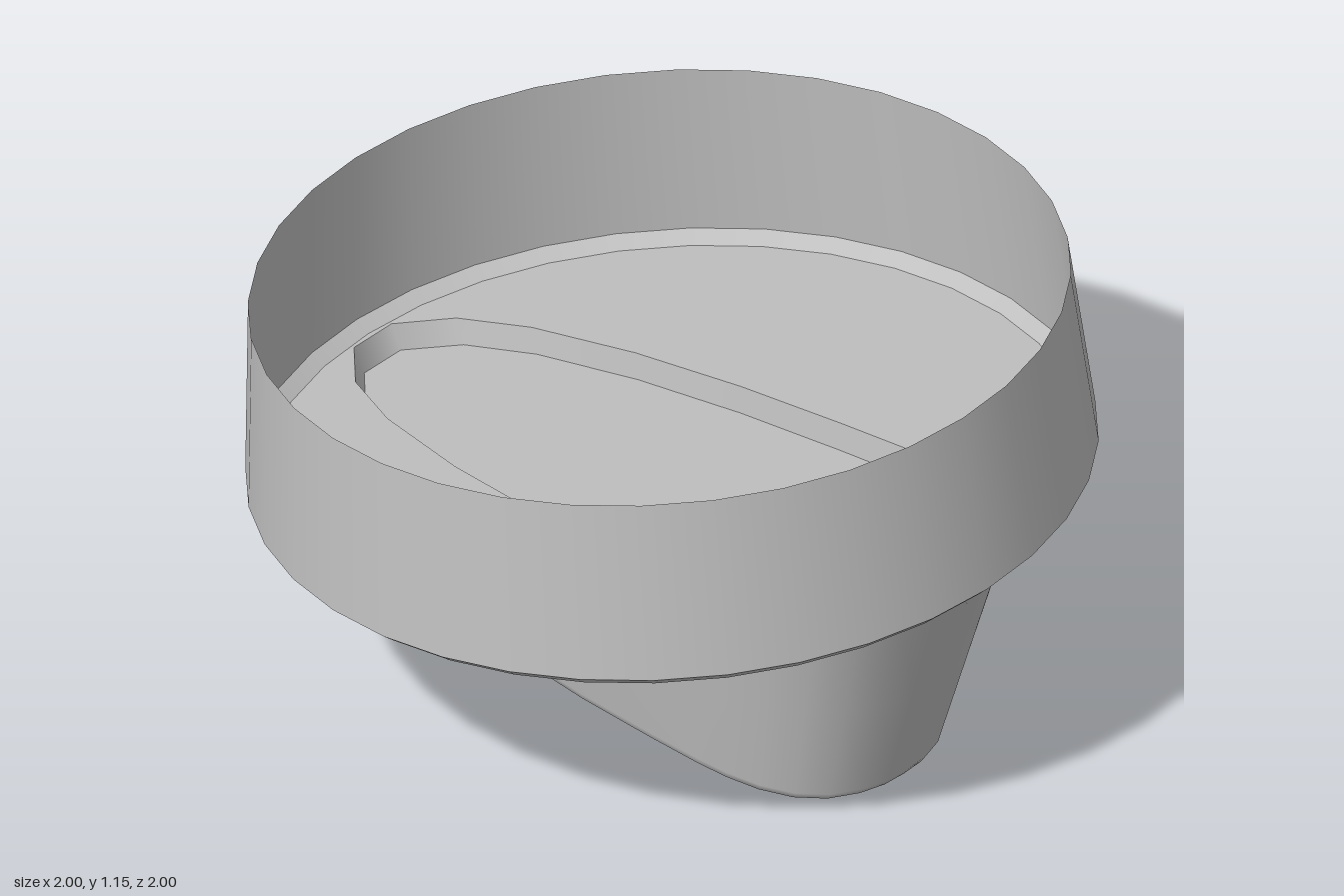
import * as THREE from 'three';

const TILT = THREE.MathUtils.degToRad(5);
const SEG = 36;

// Right half of the grip outline (x, z), from narrow back tip to round front
const HALF = [[0.065, -0.945], [0.175, -0.84], [0.25, -0.67], [0.312, -0.4], [0.35, -0.1], [0.37, 0.2],
  [0.379, 0.4], [0.378, 0.52], [0.363, 0.64], [0.325, 0.75], [0.26, 0.835], [0.17, 0.89], [0.085, 0.915]];
const OUTLINE = [...HALF, [0, 0.92], ...HALF.slice().reverse().map(([x, z]) => [-x, z])];

const floorY = z => 0.58 + z * Math.tan(TILT);
const bottomY = z => 0.017 + z * 0.0245;

// Grip section: t = 0 at the dial floor, t = 1 at the foot; inset rounds the foot edge
function section(t, inset = 0) {
  return OUTLINE.map(([x, z]) => {
    const zb = (z + 0.945) / 1.865 * 1.43 - 0.69;
    const k = 1 - inset;
    const bx = x * 0.75 * k, bz = 0.025 + (zb - 0.025) * k;
    return new THREE.Vector3(
      x + (bx - x) * t,
      floorY(z) + (bottomY(bz) - floorY(z)) * t,
      z + (bz - z) * t);
  });
}

// Smooth skin through a stack of closed sections
function loft(rings) {
  const n = rings[0].length, index = [];
  for (let r = 0; r < rings.length - 1; r++) {
    for (let i = 0; i < n; i++) {
      const a = r * n + i, b = r * n + (i + 1) % n;
      index.push(a, b, a + n, b, b + n, a + n);
    }
  }
  const g = new THREE.BufferGeometry().setFromPoints(rings.flat());
  g.setIndex(index);
  g.computeVertexNormals();
  return g;
}

// Flat plate in a sloping plane given by heightAt(z)
function plate(points, heightAt, hole, faceDown) {
  const to2 = p => new THREE.Vector2(p.x, -p.z);
  const shape = new THREE.Shape(points.map(to2));
  if (hole) shape.holes.push(new THREE.Path(hole.map(to2)));
  const g = new THREE.ShapeGeometry(shape);
  g.rotateX(-Math.PI / 2);
  const pos = g.attributes.position;
  for (let i = 0; i < pos.count; i++) pos.setY(i, heightAt(pos.getZ(i)));
  if (faceDown) {
    const ix = g.index.array;
    for (let i = 0; i < ix.length; i += 3) [ix[i], ix[i + 1]] = [ix[i + 1], ix[i]];
  }
  g.computeVertexNormals();
  return g;
}

export function createModel() {
  const model = new THREE.Group();
  const grey = new THREE.MeshStandardMaterial({ color: 0xbfbfbf, side: THREE.DoubleSide });
  grey.name = 'plain grey';
  const add = (name, geometry, parent = model) => {
    const mesh = new THREE.Mesh(geometry, grey);
    mesh.name = name;
    parent.add(mesh);
  };

  // Tilted open skirt with a chamfered lower edge
  const skirt = new THREE.Group();
  skirt.name = 'skirt';
  skirt.position.set(0, 0.58, 0.004);
  skirt.rotation.x = -TILT;
  model.add(skirt);
  const lathe = pts => new THREE.LatheGeometry(pts.map(p => new THREE.Vector2(...p)), SEG);
  add('skirtWall', lathe([[1, 0.028], [0.964, 0.487]]), skirt);
  add('skirtChamfer', lathe([[0.967, 0], [1, 0.028]]), skirt);

  // Dial floor, opened where the grip begins
  const disc = Array.from({ length: SEG }, (_, i) => {
    const a = i / SEG * Math.PI * 2;
    return new THREE.Vector3(Math.sin(a) * 0.967, 0, 0.004 + Math.cos(a) * 0.967 * Math.cos(TILT));
  });
  add('dialFloor', plate(disc, floorY, section(0), true));

  // Tapered grip, its rounded foot edge and flat foot
  add('gripSide', loft([section(0), section(0.5), section(0.955), section(0.985, 0.01), section(1, 0.045)]));
  add('gripFoot', plate(section(1, 0.045), bottomY, null, true));

  // Shallow recessed plate inside the grip opening
  const inner = section(0.12);
  const back = inner[0], front = inner[HALF.length];
  const slope = (front.y - back.y) / (front.z - back.z);
  add('gripRecess', plate(inner, z => back.y + (z - back.z) * slope));
  return model;
}
